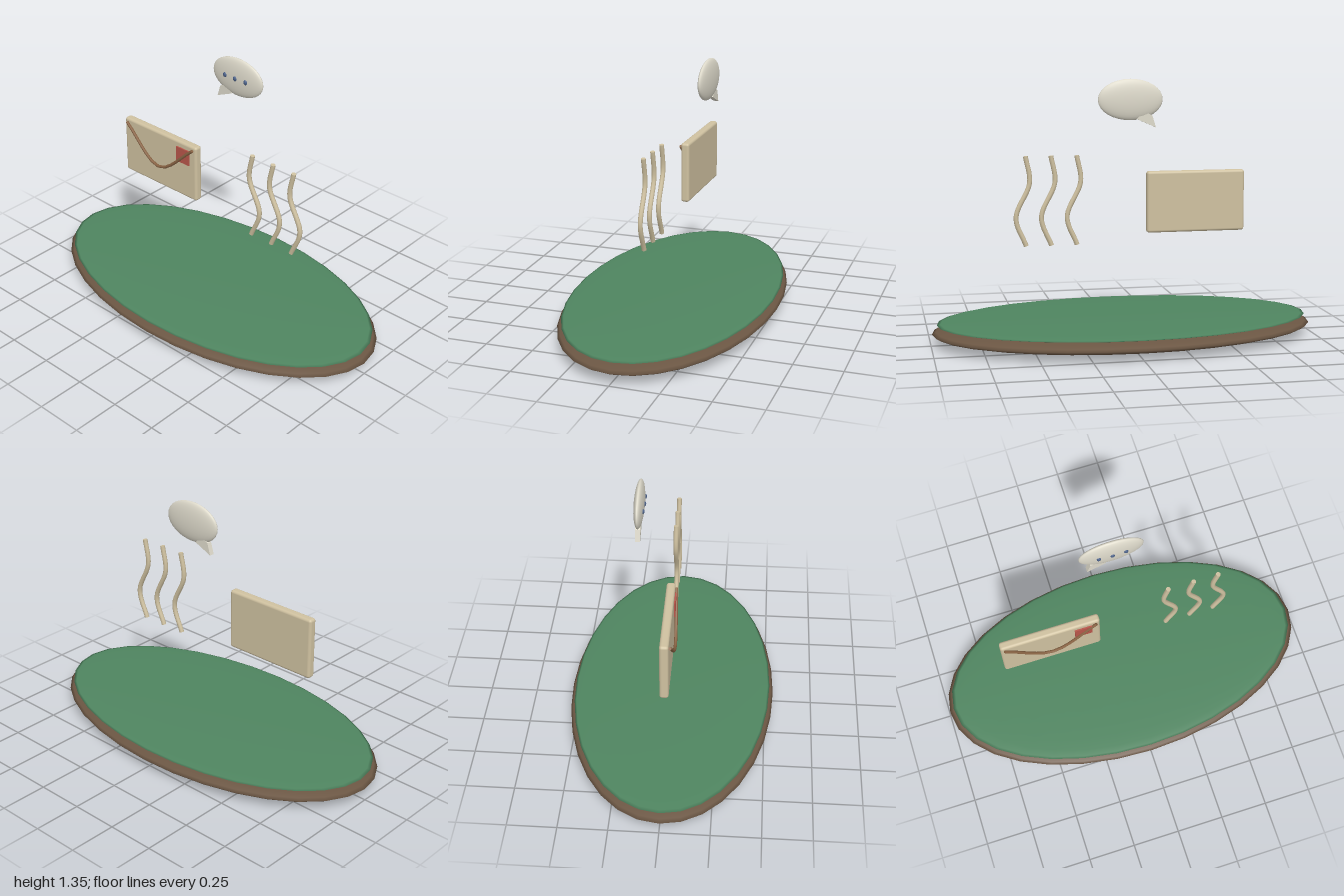
import * as THREE from 'three';
import { RoundedBoxGeometry } from 'three/addons/geometries/RoundedBoxGeometry.js';

const material = (color) => new THREE.MeshStandardMaterial({ color });

function part(parent, name, geometry, mat, x = 0, y = 0, z = 0) {
  const mesh = new THREE.Mesh(geometry, mat);
  mesh.name = name;
  mesh.position.set(x, y, z);
  parent.add(mesh);
  return mesh;
}

const ellipsoid = (rx, ry, rz, w = 32, h = 16) =>
  new THREE.SphereGeometry(1, w, h).scale(rx, ry, rz);

// Tube through a few points, with closed ends
function strand(parent, name, points, segments, radius, mat, x = 0) {
  const curve = new THREE.CatmullRomCurve3(points.map((p) => new THREE.Vector3(...p)));
  const group = new THREE.Group();
  group.name = name;
  group.position.x = x;
  part(group, name + 'Tube', new THREE.TubeGeometry(curve, segments, radius, 8), mat);
  for (const t of [0, 1]) {
    const end = curve.getPoint(t);
    const cap = part(group, name + 'Cap', new THREE.CircleGeometry(radius, 8), mat, end.x, end.y, end.z);
    const outward = curve.getTangent(t).multiplyScalar(t ? 1 : -1);
    cap.quaternion.setFromUnitVectors(new THREE.Vector3(0, 0, 1), outward);
  }
  parent.add(group);
}

export function createModel() {
  const model = new THREE.Group();
  model.name = 'messageIsland';
  const paper = material(0xcfc1a0);
  const cream = material(0xdedacb);

  // Oval ground: soil with a thin grass lens on top
  part(model, 'soil', ellipsoid(0.995, 0.06, 0.543), material(0x6b5643), 0, 0.06, 0);
  part(model, 'grass', ellipsoid(0.97, 0.019, 0.523), material(0x4f8560), 0, 0.106, 0);

  // Envelope with its flap line and stamp
  const envelope = new THREE.Group();
  envelope.name = 'envelope';
  part(envelope, 'envelopeBody', new RoundedBoxGeometry(0.52, 0.32, 0.045, 3, 0.014), paper, -0.38, 0.71, 0);
  strand(envelope, 'envelopeFlap',
    [[-0.62, 0.85, 0.028], [-0.38, 0.672, 0.038], [-0.14, 0.85, 0.028]],
    12, 0.008, material(0x8a6444));
  part(envelope, 'stamp', new THREE.BoxGeometry(0.09, 0.085, 0.012), material(0xb8564a), -0.21, 0.795, 0.024);
  model.add(envelope);

  // Three wavy wisps
  for (const x of [0.245, 0.378, 0.508]) {
    strand(model, 'wisp', [[0, 0.5, 0], [0.051, 0.645, 0], [-0.02, 0.825, 0], [0, 0.96, 0]],
      24, 0.0125, paper, x);
  }

  // Speech bubble: flattened oval, pointed tail and three dots
  const bubble = new THREE.Group();
  bubble.name = 'speechBubble';
  bubble.position.set(0, 1.25, -0.165);
  part(bubble, 'bubbleBody', ellipsoid(0.165, 0.103, 0.026), cream);
  const tail = new THREE.Shape([[-0.128, -0.14], [-0.03, -0.097], [-0.07, -0.06], [-0.11, -0.08]]
    .map(([x, y]) => new THREE.Vector2(x, y)));
  part(bubble, 'bubbleTail', new THREE.ExtrudeGeometry(tail, { depth: 0.026, bevelEnabled: false }),
    cream, 0, 0, -0.013);
  const ink = material(0x4a6088);
  for (const x of [-0.068, 0, 0.068]) {
    part(bubble, 'dot', ellipsoid(0.012, 0.014, 0.011, 12, 8), ink, x, 0, x ? 0.021 : 0.023);
  }
  model.add(bubble);

  return model;
}
